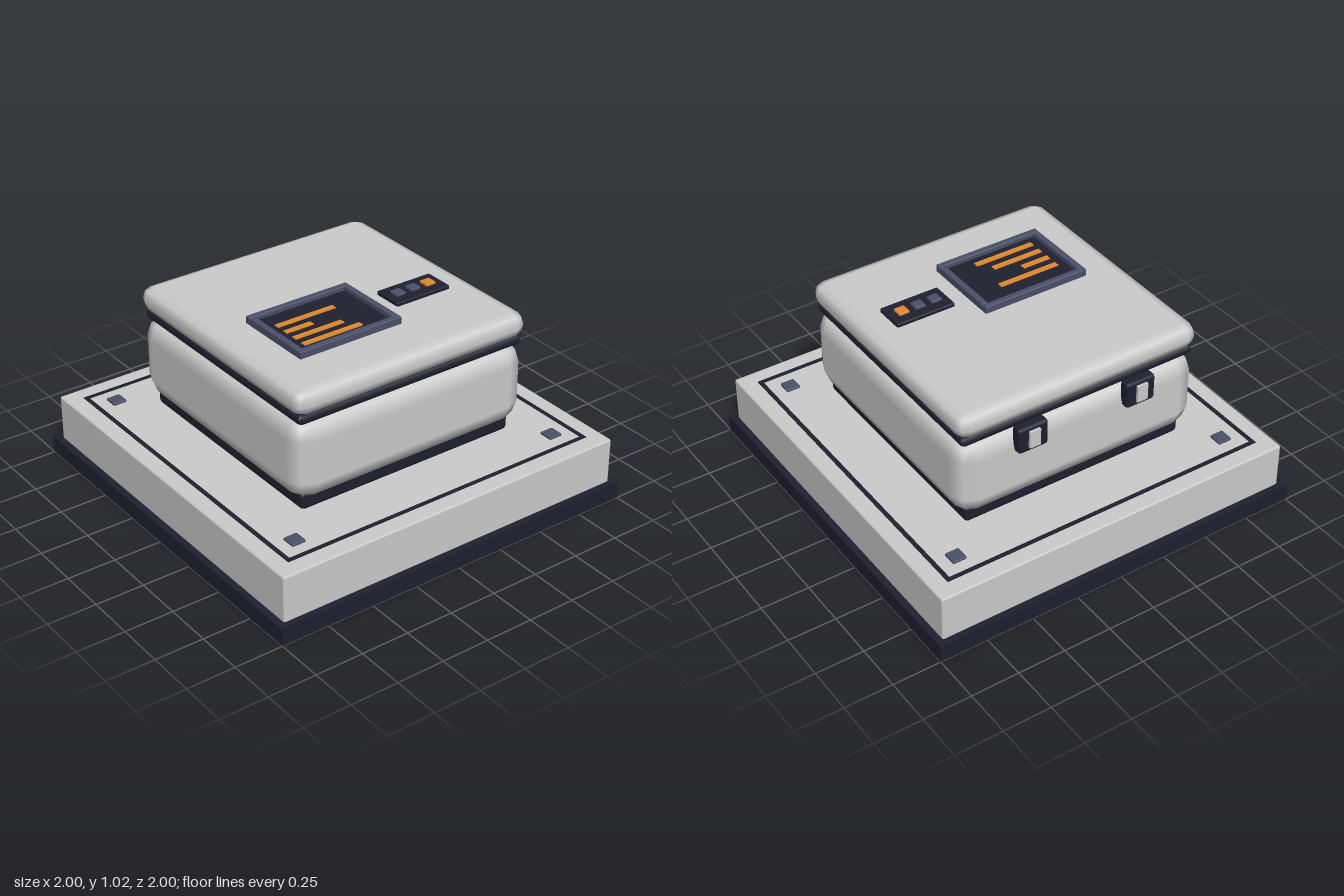
import * as THREE from 'three';
import { RoundedBoxGeometry } from 'three/addons/geometries/RoundedBoxGeometry.js';

const material = (color) => new THREE.MeshStandardMaterial({ color });
const grey = material(0xcccccc);
const dark = material(0x1e2030);
const slate = material(0x4a5068);
const orange = material(0xe0882c);

// Box given by its centre in x and z, and its bottom and top in y.
// With a radius, the edges get a coarse bevel; the bevel pulls the faces in
// slightly, so the nominal size is grown to keep the outer dimensions.
function block(parent, name, mat, [x, z], [w, d], [y0, y1], radius = 0) {
  const grow = radius * 0.19;
  const geometry = radius
    ? new RoundedBoxGeometry(w + grow, y1 - y0 + grow, d + grow, 1, radius)
    : new THREE.BoxGeometry(w, y1 - y0, d);
  const mesh = new THREE.Mesh(geometry, mat);
  mesh.name = name;
  mesh.position.set(x, (y0 + y1) / 2, z);
  parent.add(mesh);
  return mesh;
}

function section(parent, name) {
  const group = new THREE.Group();
  group.name = name;
  parent.add(group);
  return group;
}

// Flat rectangular border made of four bars
function border(parent, name, mat, [x, z], [w, d], t, [y0, y1], radius = 0) {
  const group = section(parent, name);
  for (const s of [-1, 1]) {
    block(group, name + 'LongBar', mat, [x, z + s * (d - t) / 2], [w, t], [y0, y1], radius);
    block(group, name + 'SideBar', mat, [x + s * (w - t) / 2, z], [t, d - 2 * t], [y0, y1], radius);
  }
}

export function createModel() {
  const model = new THREE.Group();
  model.name = 'consoleCase';

  // Stepped platform
  const platform = section(model, 'platform');
  block(platform, 'baseSlab', dark, [0, 0], [2, 2], [0, 0.09]);
  block(platform, 'deck', grey, [0, 0], [1.93, 1.93], [0.085, 0.328], 0.01);
  border(platform, 'deckInlay', dark, [0, 0], [1.76, 1.76], 0.022, [0.32, 0.332]);
  for (const x of [-0.76, 0.76])
    for (const z of [-0.76, 0.76])
      block(platform, 'cornerPad', slate, [x, z], [0.072, 0.072], [0.32, 0.34], 0.005);

  // Case: foot, body, seal and lid
  const casing = section(model, 'casing');
  block(casing, 'foot', dark, [0, 0], [1.215, 1.215], [0.345, 0.43], 0.02);
  block(casing, 'body', grey, [0, 0], [1.314, 1.314], [0.412, 0.818], 0.105);
  block(casing, 'seal', dark, [0, 0], [1.28, 1.28], [0.815, 0.862], 0.022);
  block(casing, 'lid', grey, [0, 0], [1.314, 1.314], [0.861, 0.98], 0.06);

  // Rear latches
  for (const x of [-0.3, 0.3]) {
    const latch = section(model, 'latch');
    block(latch, 'latchBody', dark, [x, -0.675], [0.158, 0.056], [0.705, 0.84], 0.014);
    block(latch, 'latchPlate', grey, [x, -0.706], [0.058, 0.024], [0.73, 0.82]);
  }

  // Display with text-like bars
  const display = section(model, 'display');
  block(display, 'screen', dark, [-0.172, 0.178], [0.54, 0.4], [0.97, 1.0]);
  border(display, 'screenFrame', slate, [-0.172, 0.178], [0.576, 0.434], 0.032, [0.975, 1.022], 0.006);
  [0.33, 0.152, 0.275, 0.33].forEach((length, i) =>
    block(display, 'readoutBar', orange, [-0.385 + length / 2, 0.1 + i * 0.07], [length, 0.03], [0.995, 1.005]));

  // Button strip
  const controls = section(model, 'controls');
  block(controls, 'buttonPanel', dark, [0.359, 0.175], [0.315, 0.158], [0.975, 1.004], 0.006);
  [slate, slate, orange].forEach((mat, i) =>
    block(controls, 'button', mat, [0.266 + i * 0.09, 0.175], [0.055, 0.055], [0.995, 1.016], 0.005));

  return model;
}
